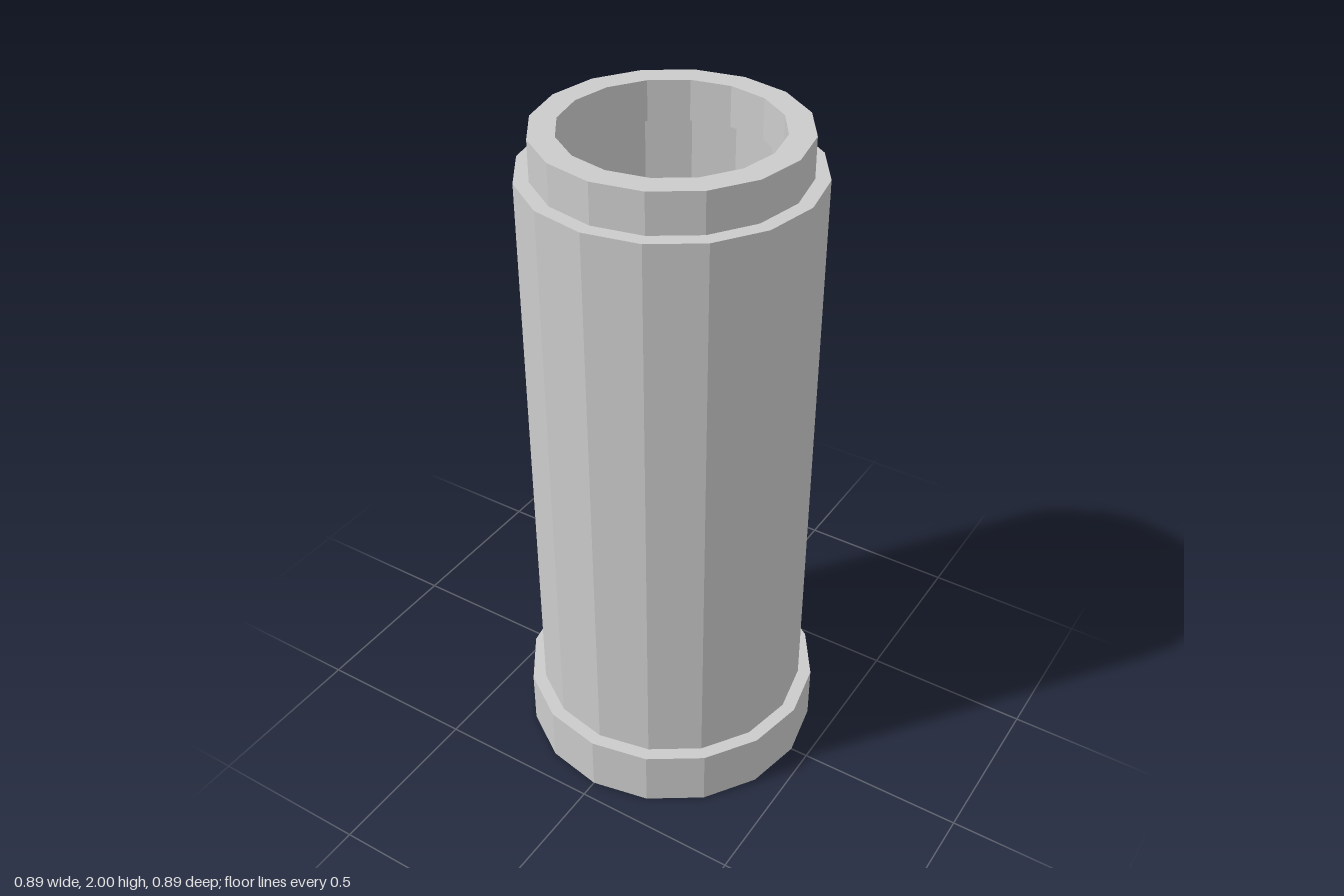
import * as THREE from 'three';

const SIDES = 16;
const BORE = 0.805; // inner radius as a share of the outer radius

export function createModel() {
  const group = new THREE.Group();
  const material = new THREE.MeshStandardMaterial({ color: 0xcccccc, flatShading: true });

  // Faceted hollow ring from a closed rectangular profile
  function addRing(name, radius, bottom, top) {
    const inner = radius * BORE;
    const profile = [
      [radius, bottom], [radius, top], [inner, top], [inner, bottom], [radius, bottom],
    ].map(([r, y]) => new THREE.Vector2(r, y));
    const mesh = new THREE.Mesh(new THREE.LatheGeometry(profile, SIDES), material);
    mesh.name = name;
    group.add(mesh);
  }

  // Wide socket at the foot, long pipe, narrow spigot at the top
  addRing('baseCollar', 0.447, 0, 0.175);
  addRing('pipeBody', 0.407, 0.175, 1.885);
  addRing('topSpigot', 0.366, 1.885, 2);

  return group;
}
